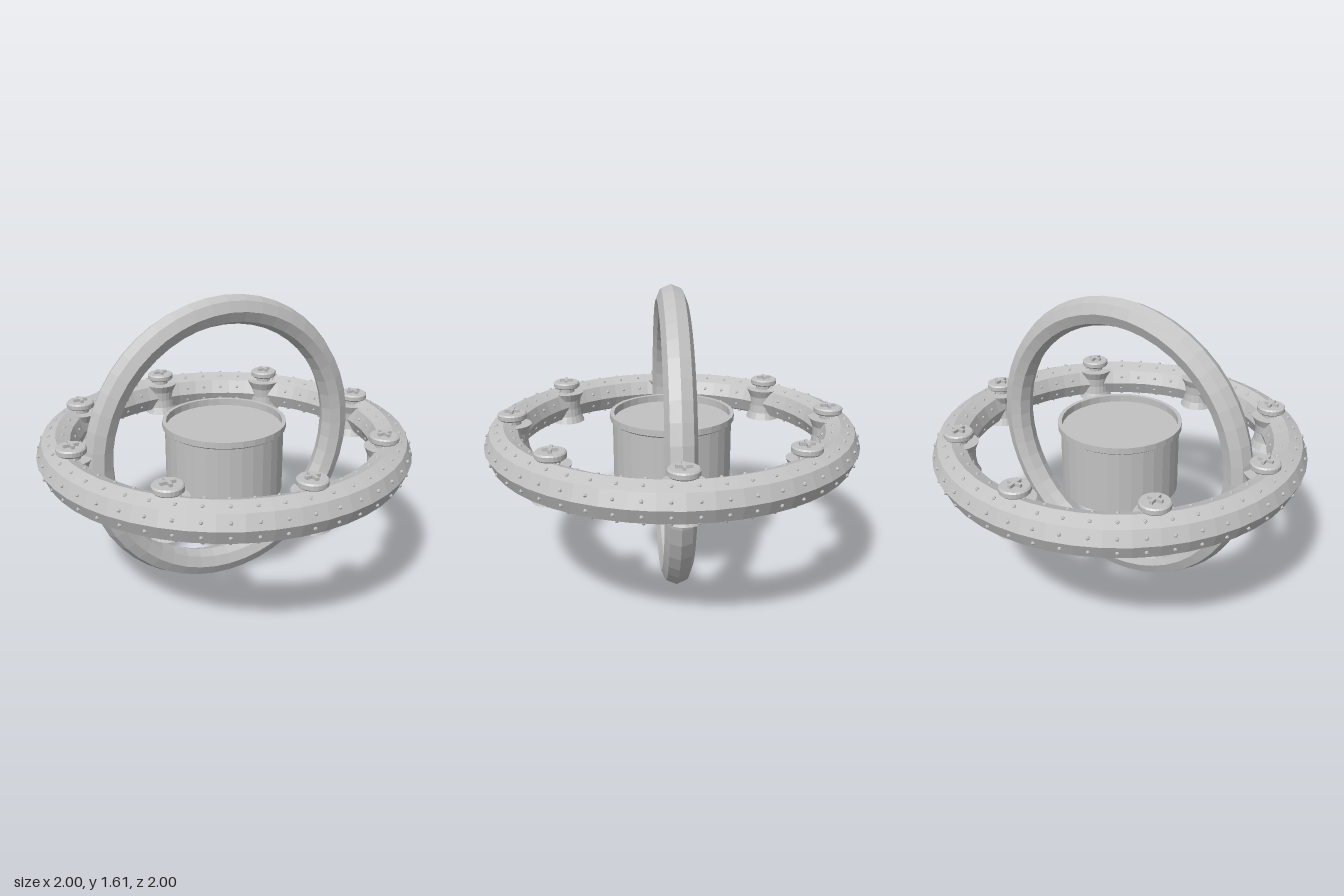
import * as THREE from 'three';
import { mergeGeometries } from 'three/addons/utils/BufferGeometryUtils.js';

const CENTER_Y = 0.805;

export function createModel() {
  const model = new THREE.Group();
  model.name = 'gyroscope';
  const metal = new THREE.MeshStandardMaterial({ color: 0xc2c2c2, flatShading: true });
  metal.name = 'grey metal';

  const add = (parent, name, geometry, x = 0, y = 0, z = 0) => {
    const mesh = new THREE.Mesh(geometry, metal);
    mesh.name = name;
    mesh.position.set(x, y, z);
    parent.add(mesh);
    return mesh;
  };
  const lathe = (points, sides) =>
    new THREE.LatheGeometry(points.map(([r, y]) => new THREE.Vector2(r, y)), sides);

  // Horizontal and upright octagonal rings
  const ringR = 0.895, tubeR = 0.105;
  const outer = new THREE.TorusGeometry(ringR, tubeR, 8, 48).rotateX(Math.PI / 2);
  add(model, 'horizontalRing', outer, 0, CENTER_Y, 0);
  const upright = new THREE.TorusGeometry(0.728, 0.077, 8, 48).scale(0.982, 1, 1);
  add(model, 'uprightRing', upright, 0, CENTER_Y, 0);

  // Small rivets on every face of the horizontal ring
  const rivets = [];
  const faceR = tubeR * Math.cos(Math.PI / 8);
  for (let i = 0; i < 48; i++) {
    const a = ((i + 0.5) / 48) * Math.PI * 2;
    for (let j = 0; j < 8; j++) {
      const b = ((j + 0.5) / 8) * Math.PI * 2;
      const r = ringR + faceR * Math.cos(b);
      const bump = new THREE.SphereGeometry(0.01, 6, 4);
      bump.translate(r * Math.cos(a), faceR * Math.sin(b), r * Math.sin(a));
      rivets.push(bump);
    }
  }
  add(model, 'ringRivets', mergeGeometries(rivets), 0, CENTER_Y, 0);

  // Eight screws, each on a waisted spool
  const spool = lathe([[0, 0.705], [0.1, 0.705], [0.083, 0.745], [0.077, 0.79],
    [0.08, 0.84], [0.1, 0.885], [0, 0.885]], 20);
  const neck = new THREE.CylinderGeometry(0.045, 0.045, 0.05, 12);
  const head = lathe([[0, 0.912], [0.07, 0.912], [0.077, 0.919], [0.077, 0.941],
    [0.07, 0.948], [0, 0.948]], 24);
  const barX = new THREE.BoxGeometry(0.078, 0.022, 0.016);
  const barZ = new THREE.BoxGeometry(0.016, 0.022, 0.078);
  for (let i = 0; i < 8; i++) {
    const a = (i / 8) * Math.PI * 2;
    const screw = new THREE.Group();
    screw.name = 'screw';
    screw.position.set(0.852 * Math.cos(a), 0, 0.852 * Math.sin(a));
    add(screw, 'spool', spool);
    add(screw, 'screwNeck', neck, 0, 0.9, 0);
    add(screw, 'screwHead', head);
    add(screw, 'crossBarX', barX, 0, 0.953, 0);
    add(screw, 'crossBarZ', barZ, 0, 0.953, 0);
    model.add(screw);
  }

  // Central cup with a raised rim and a recessed lid
  const cup = lathe([[0, 0.545], [0.319, 0.545], [0.319, 0.895], [0.333, 0.905],
    [0.333, 0.938], [0.312, 0.938], [0.312, 0.9], [0, 0.9]], 32);
  add(model, 'centralCup', cup);

  return model;
}
